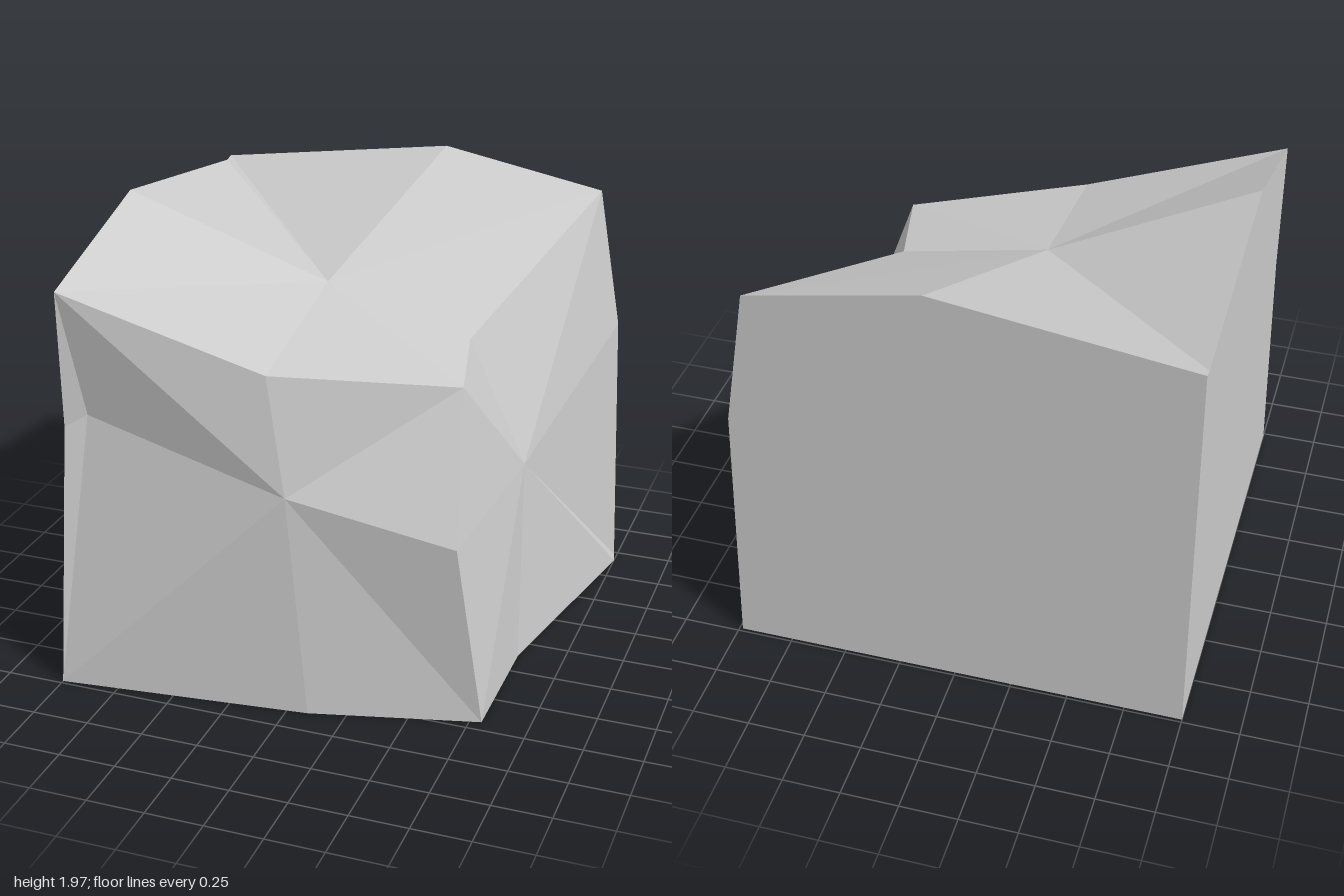
import * as THREE from 'three';

// Corner points of the rough stone block
const p = {
  // flat corner edge and outline of the cut back and side
  base: [-1, 0, -0.985], backTopA: [-1, 1.81, -0.94], backTopB: [-1, 1.82, -0.985],
  backPeak: [0.09, 1.97, -0.985], backRight: [0.83, 1.83, -0.985],
  backMid: [0.94, 1.2, -0.985], backFoot: [0.985, 0, -0.985],
  sidePeak: [-1, 1.96, 0.11], sideFront: [-1, 1.74, 0.84], sideMid: [-1, 1.14, 0.825],
  sideFoot: [-1, 0, 0.985],
  // rough edges shared by the top, front and right
  topRight: [0.52, 1.44, 0.03], corner: [0.62, 1.4, 0.46], topFront: [-0.12, 1.46, 0.75],
  cornerMid: [0.69, 0.81, 0.74], cornerFoot: [0.8, 0, 0.69],
  frontFoot: [0.09, 0, 0.87], rightFoot: [0.8, 0, 0.12], rightBackFoot: [1, 0, -0.92],
  frontLeft: [-0.91, 1.19, 0.785],
  // hubs of the three rough faces
  topHub: [-0.14, 1.6, -0.02], frontHub: [-0.02, 0.96, 0.815], rightHub: [0.76, 0.87, -0.03],
};

const material = new THREE.MeshStandardMaterial({ color: 0xcccccc, flatShading: true });

// Triangles from a hub to each pair of neighbouring rim points
function fan(hub, rim, closed) {
  const tris = [];
  const count = closed ? rim.length : rim.length - 1;
  for (let i = 0; i < count; i++) tris.push([hub, rim[i], rim[(i + 1) % rim.length]]);
  return tris;
}

function face(name, tris) {
  const g = new THREE.BufferGeometry();
  const positions = tris.flat().flatMap((key) => p[key]);
  g.setAttribute('position', new THREE.Float32BufferAttribute(positions, 3));
  g.computeVertexNormals();
  const mesh = new THREE.Mesh(g, material);
  mesh.name = name;
  return mesh;
}

export function createModel() {
  const block = new THREE.Group();
  block.name = 'stoneBlock';

  // Rough faces, each a dented fan
  block.add(face('roughTop', fan('topHub', ['sidePeak', 'sideFront', 'topFront', 'corner',
    'topRight', 'backRight', 'backPeak', 'backTopB', 'backTopA'], true)));
  block.add(face('roughFront', [
    ...fan('frontHub', ['sideFront', 'frontLeft', 'sideFoot', 'frontFoot', 'cornerFoot',
      'cornerMid', 'corner', 'topFront'], true),
    // chipped left edge
    ...fan('frontLeft', ['sideFront', 'sideMid', 'sideFoot'], false),
  ]));
  block.add(face('roughRight', fan('rightHub', ['corner', 'cornerMid', 'cornerFoot', 'rightFoot',
    'rightBackFoot', 'backFoot', 'backMid', 'backRight', 'topRight'], true)));

  // Flat cut faces, meeting at the base corner
  block.add(face('flatBack', fan('base',
    ['backTopB', 'backPeak', 'backRight', 'backMid', 'backFoot'], false)));
  block.add(face('flatSide', fan('base',
    ['sideFoot', 'sideMid', 'sideFront', 'sidePeak', 'backTopA', 'backTopB'], false)));
  block.add(face('flatBottom', fan('base',
    ['backFoot', 'rightBackFoot', 'rightFoot', 'cornerFoot', 'frontFoot', 'sideFoot'], false)));

  return block;
}
